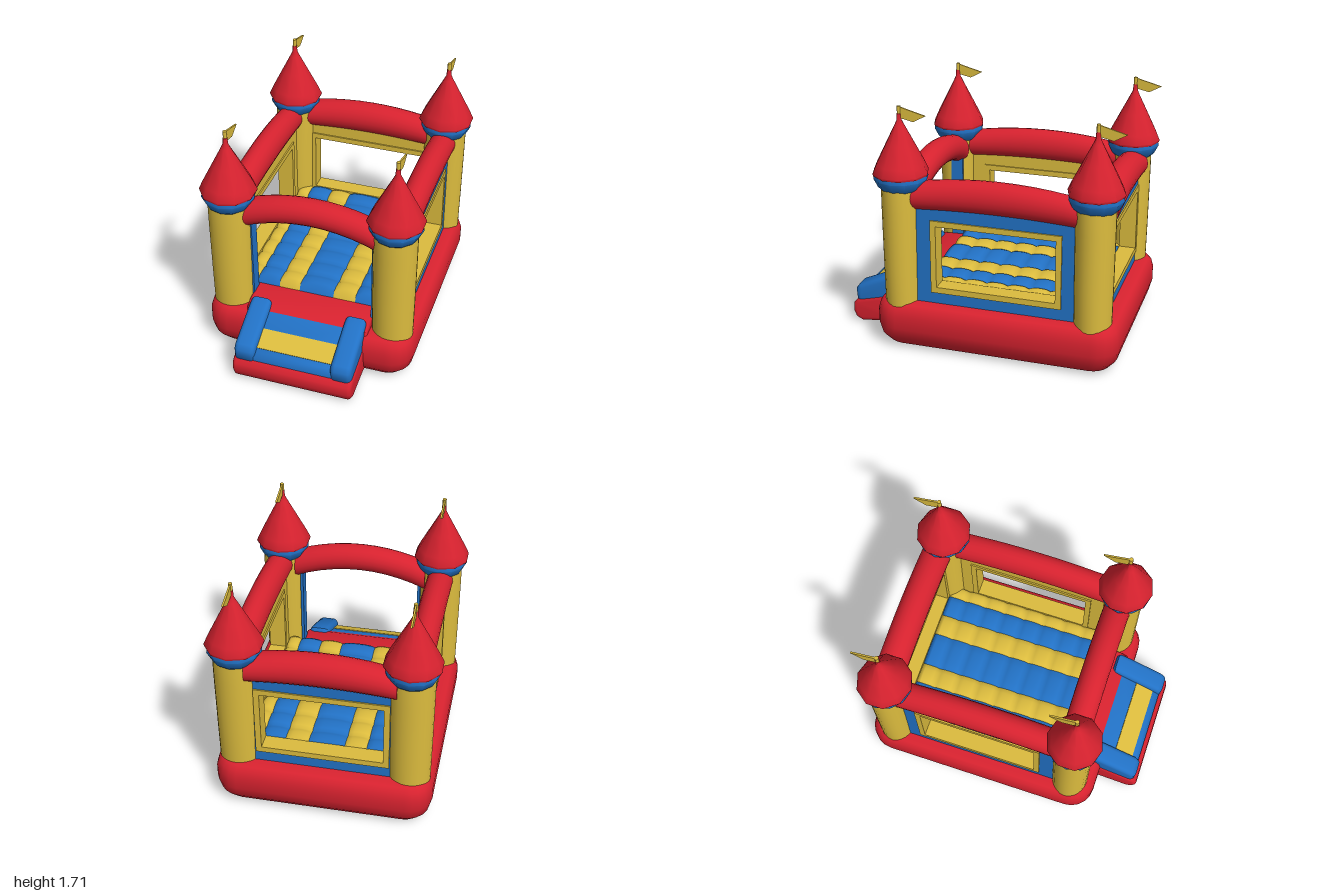
import * as THREE from 'three';
import { toCreasedNormals } from 'three/addons/utils/BufferGeometryUtils.js';

const mat = (name, color, extra = {}) => {
  const m = new THREE.MeshStandardMaterial({ color, ...extra });
  m.name = name;
  return m;
};

export function createModel() {
  const red = mat('red vinyl', 0xd8222f);
  const yellow = mat('yellow vinyl', 0xdcbc3e, { side: THREE.DoubleSide });
  const blue = mat('blue vinyl', 0x2272c6, { side: THREE.DoubleSide });
  const model = new THREE.Group();
  model.name = 'bouncyCastle';

  const add = (name, geo, material, parent = model) => {
    const mesh = new THREE.Mesh(geo, material);
    mesh.name = name;
    parent.add(mesh);
    return mesh;
  };
  const poly = pts => new THREE.Shape(pts.map(p => new THREE.Vector2(...p)));
  const rect = (x, y0, y1) => [[-x, y0], [x, y0], [x, y1], [-x, y1]];

  // Side profile of [z, y] points, extruded across x with a rounded rim
  const across = (pts, width, bevel) => {
    const geo = new THREE.ExtrudeGeometry(poly(pts), {
      depth: width - 2 * bevel, bevelEnabled: true, bevelSize: bevel,
      bevelOffset: -bevel, bevelThickness: bevel, bevelSegments: 4,
    });
    geo.translate(0, 0, bevel - width / 2).rotateY(-Math.PI / 2);
    return toCreasedNormals(geo, 0.8);
  };

  // Inflated base: rounded rectangles stacked as [y, inset]
  const baseGeometry = () => {
    const layers = [[0.005, 0.12], [0.02, 0.07], [0.08, 0.02], [0.16, 0], [0.25, 0],
      [0.305, 0.015], [0.335, 0.04], [0.345, 0.08]];
    const steps = 5, n = 4 * (steps + 1), pos = [], idx = [];
    for (const [y, inset] of layers) {
      const r = 0.17 - inset * 0.7, hx = 0.75 - inset - r, hz = 0.855 - inset - r;
      for (let c = 0; c < 4; c++) for (let s = 0; s <= steps; s++) {
        const a = (c + s / steps) * Math.PI / 2;
        const sx = c === 0 || c === 3 ? 1 : -1, sz = c < 2 ? 1 : -1;
        pos.push(sx * hx + r * Math.cos(a), y, -0.145 + sz * hz + r * Math.sin(a));
      }
    }
    const last = (layers.length - 1) * n, bottom = pos.length / 3, top = bottom + 1;
    pos.push(0, 0, -0.145, 0, 0.345, -0.145);
    for (let j = 0; j < n; j++) {
      const k = (j + 1) % n;
      for (let i = 0; i < last; i += n) idx.push(i + j, i + n + j, i + k, i + k, i + n + j, i + n + k);
      idx.push(bottom, j, k, top, last + k, last + j);
    }
    const geo = new THREE.BufferGeometry();
    geo.setAttribute('position', new THREE.Float32BufferAttribute(pos, 3));
    geo.setIndex(idx);
    return toCreasedNormals(geo, 1);
  };
  add('base', baseGeometry(), red);

  // Striped, quilted floor
  add('floorCore', new THREE.BoxGeometry(1.04, 0.1, 1.22), red).position.set(0, 0.35, -0.17);
  const edges = [-0.53, -0.44, -0.28, -0.13, 0.12, 0.28, 0.44, 0.53];
  for (let i = 0; i < edges.length - 1; i++) {
    const w = edges[i + 1] - edges[i], len = 1.22;
    const geo = new THREE.PlaneGeometry(w, len, 8, 48).rotateX(-Math.PI / 2);
    const p = geo.attributes.position;
    for (let k = 0; k < p.count; k++) {
      const u = Math.max(0, Math.cos(p.getX(k) / w * Math.PI)) ** 0.5;
      const v = Math.abs(Math.sin((p.getZ(k) / len + 0.5) * Math.PI * 8)) ** 0.5;
      const end = Math.abs(p.getZ(k)) > len / 2 - 0.001;
      p.setY(k, end ? 0.4 : 0.44 + 0.018 * u + 0.015 * v);
    }
    geo.computeVertexNormals();
    add('floorStripe', geo, i % 2 ? blue : yellow).position.set((edges[i] + edges[i + 1]) / 2, 0, -0.18);
  }
  add('doorSill', across([[0.4, 0.3], [0.67, 0.3], [0.66, 0.37], [0.6, 0.405], [0.4, 0.41]], 0.88, 0.02), red);

  // Walls with framed windows, outer face towards local +z
  const wall = (name, half, x, z, turn) => {
    const g = new THREE.Group();
    g.name = name;
    const panel = (outer, hole, depth, z0) => {
      const s = poly(outer);
      s.holes.push(poly(hole));
      return new THREE.ExtrudeGeometry(s, { depth, bevelEnabled: false }).translate(0, 0, z0);
    };
    const opening = rect(0.455, 0.425, 0.95);
    add('outerPanel', panel(rect(half, 0.32, 1.08), opening, 0.05, -0.05), blue, g);
    add('innerPanel', panel(rect(half, 0.32, 1.08), opening, 0.05, -0.1), yellow, g);
    add('windowFrame', panel(opening, rect(0.415, 0.467, 0.91), 0.12, -0.11), yellow, g);
    g.position.set(x, 0, z);
    g.rotation.y = turn;
    model.add(g);
  };
  wall('leftWall', 0.62, 0.64, -0.15, Math.PI / 2);
  wall('rightWall', 0.62, -0.64, -0.15, -Math.PI / 2);
  wall('backWall', 0.55, 0, -0.88, Math.PI);

  // Arched top beams; low and high give [end, middle] heights
  const beam = (name, half, low, high, depth, x, z, turn) => {
    const geo = new THREE.CylinderGeometry(1, 1, 2, 20, 10).rotateZ(Math.PI / 2);
    const p = geo.attributes.position;
    for (let k = 0; k < p.count; k++) {
      const t = p.getX(k), c = 1 - t * t;
      const lo = low[0] + (low[1] - low[0]) * c, hi = high[0] + (high[1] - high[0]) * c;
      p.setXYZ(k, t * half, (lo + hi) / 2 + p.getY(k) * (hi - lo) / 2, p.getZ(k) * depth);
    }
    const mesh = add(name, toCreasedNormals(geo, 0.9), red);
    mesh.position.set(x, 0, z);
    mesh.rotation.y = turn;
  };
  beam('frontArch', 0.48, [0.975, 1.08], [1.18, 1.27], 0.095, 0, 0.505, 0);
  beam('backBeam', 0.5, [1.0, 1.02], [1.19, 1.25], 0.105, 0, -0.835, 0);
  for (const s of [1, -1])
    beam('sideBeam', 0.6, [1.0, 1.02], [1.19, 1.25], 0.093, s * 0.59, -0.145, Math.PI / 2);

  // Corner towers with collar, roof and flag
  const lathe = (pts, n) => toCreasedNormals(
    new THREE.LatheGeometry(pts.map(p => new THREE.Vector2(...p)), n), 0.8);
  const column = lathe([[0.143, 0.3], [0.147, 0.6], [0.15, 1.0], [0.15, 1.17]], 24);
  const collar = lathe([[0.14, 1.14], [0.155, 1.155], [0.185, 1.215], [0.178, 1.255]], 12);
  const roof = lathe([[0.15, 1.235], [0.192, 1.24], [0.197, 1.255], [0.17, 1.315], [0.1, 1.45],
    [0.035, 1.575], [0.018, 1.61], [0.016, 1.655], [0, 1.66]], 10);
  const pennant = new THREE.ExtrudeGeometry(
    poly([[0.01, 1.705], [-0.06, 1.685], [-0.185, 1.652], [-0.1, 1.605], [-0.01, 1.625]]),
    { depth: 0.012, bevelEnabled: false }).translate(0, 0, -0.006).rotateY(-Math.PI / 2);
  for (const x of [-0.583, 0.583]) for (const z of [0.525, -0.81]) {
    const tower = new THREE.Group();
    tower.name = 'tower';
    add('column', column, yellow, tower).scale.z = 0.89;
    add('collar', collar, blue, tower);
    add('roof', roof, red, tower).scale.z = 0.97;
    add('flag', pennant, yellow, tower);
    add('flagPole', new THREE.CylinderGeometry(0.014, 0.014, 0.06, 8), yellow, tower).position.y = 1.675;
    tower.position.set(x, 0, z);
    model.add(tower);
  }

  // Blue strips on both sides of the doorway
  for (const s of [1, -1])
    add('doorStrip', new THREE.BoxGeometry(0.02, 0.66, 0.09), blue).position.set(s * 0.437, 0.7, 0.49);

  // Entrance ramp
  add('rampBase', across([[0.55, 0.03], [0.72, 0.03], [0.93, 0.005], [0.98, 0.03], [1.0, 0.08],
    [0.995, 0.14], [0.96, 0.175], [0.55, 0.28]], 0.86, 0.03), red);
  add('rampSlope', across([[0.55, 0.15], [0.96, 0.13], [0.965, 0.2], [0.94, 0.235],
    [0.66, 0.37], [0.55, 0.37]], 0.62, 0.01), blue);
  const strip = add('rampStrip', new THREE.BoxGeometry(0.55, 0.009, 0.147), yellow);
  strip.position.set(0, 0.281, 0.846);
  strip.rotation.x = Math.atan(0.482);
  for (const s of [1, -1])
    add('rampSide', across([[0.58, 0.22], [0.94, 0.14], [0.972, 0.17], [0.978, 0.25], [0.95, 0.288],
      [0.66, 0.415], [0.6, 0.43], [0.58, 0.4]], 0.15, 0.035), blue).position.x = s * 0.345;

  return model;
}
